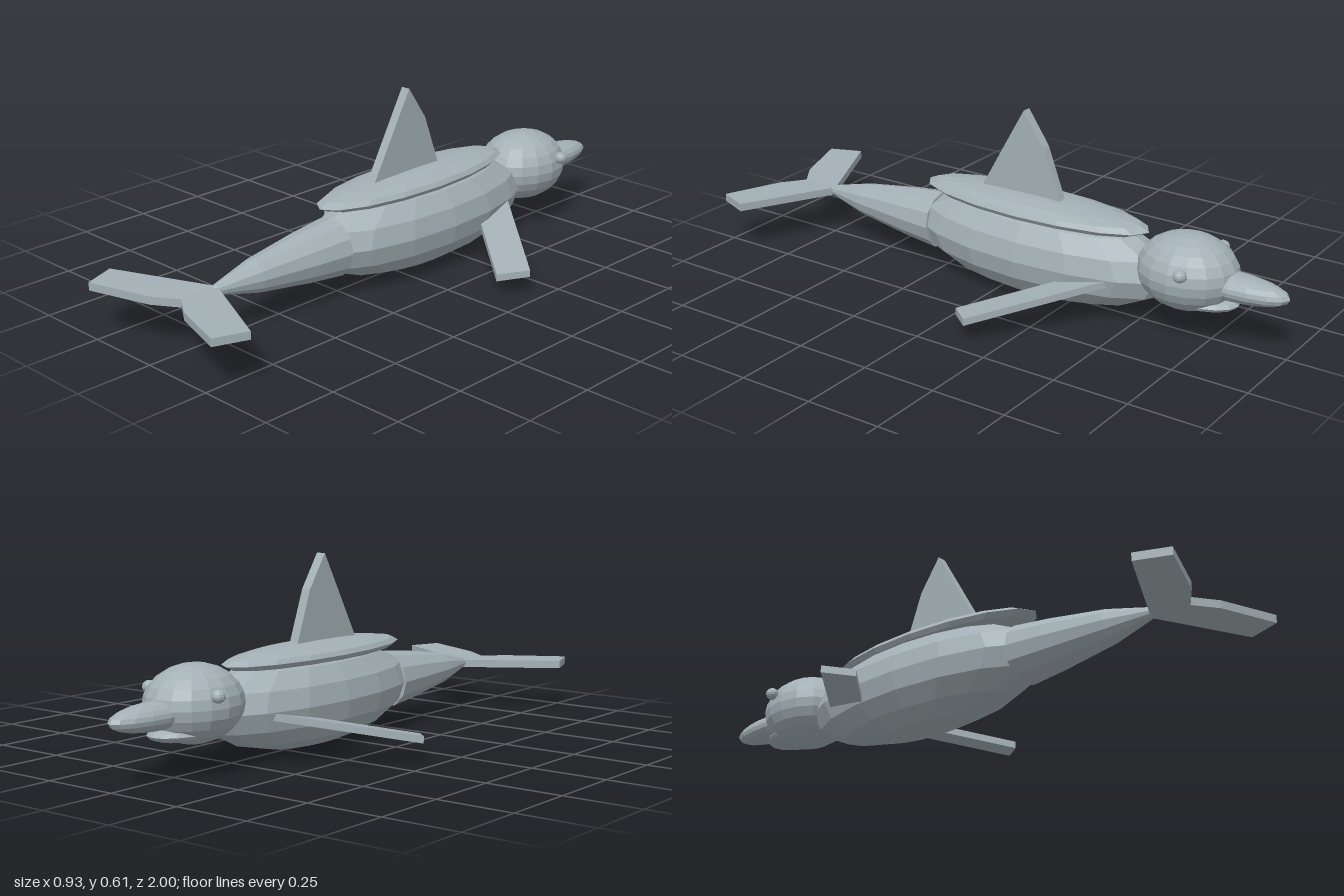
import * as THREE from 'three';

export function createModel() {
  const model = new THREE.Group();
  model.name = 'dolphin';
  const grey = new THREE.MeshStandardMaterial({ color: 0xa3b0b5, flatShading: true });
  grey.name = 'blueGrey';

  const add = (name, geometry) => {
    const mesh = new THREE.Mesh(geometry, grey);
    mesh.name = name;
    model.add(mesh);
    return mesh;
  };

  const ellipsoid = (name, [x, y, z], [rx, ry, rz], w = 16, h = 8) => {
    const g = new THREE.SphereGeometry(1, w, h);
    g.scale(rx, ry, rz).translate(x, y, z);
    return add(name, g);
  };

  // Slab: a convex outline pushed along an offset; winding follows the offset
  const slab = (name, outline, offset) => {
    const off = new THREE.Vector3(...offset);
    let a = outline.map((p) => new THREE.Vector3(...p));
    const normal = a[1].clone().sub(a[0]).cross(a[2].clone().sub(a[0]));
    if (normal.dot(off) > 0) a = a.reverse();
    const b = a.map((p) => p.clone().add(off));
    const tris = [];
    const n = a.length;
    for (let i = 1; i < n - 1; i++) {
      tris.push(a[0], a[i], a[i + 1], b[0], b[i + 1], b[i]);
    }
    for (let i = 0; i < n; i++) {
      const j = (i + 1) % n;
      tris.push(a[i], b[i], b[j], a[i], b[j], a[j]);
    }
    const g = new THREE.BufferGeometry().setFromPoints(tris);
    g.computeVertexNormals();
    return add(name, g);
  };

  // Body, raised back and head; the snout points to -z
  ellipsoid('body', [0, 0.163, -0.13], [0.168, 0.16, 0.485]);
  ellipsoid('back', [0, 0.298, -0.1], [0.125, 0.038, 0.42]);
  ellipsoid('head', [0, 0.21, -0.66], [0.14, 0.12, 0.165], 16, 12);
  ellipsoid('upperBeak', [0, 0.196, -0.82], [0.062, 0.043, 0.18], 16, 10);
  ellipsoid('lowerJaw', [0, 0.133, -0.7], [0.085, 0.028, 0.135], 16, 8);

  // Tapering tail stock
  const profile = [[0, 0.77], [0.016, 0.75], [0.054, 0.6], [0.083, 0.4], [0.097, 0.27], [0, 0.26]]
    .map(([r, z]) => new THREE.Vector2(r, -z)).map((p) => new THREE.Vector2(p.x, p.y));
  const tail = new THREE.LatheGeometry(profile, 12);
  tail.rotateX(-Math.PI / 2).translate(0, 0.16, 0);
  add('tailStock', tail);

  // Dorsal fin
  slab('dorsalFin', [
    [0.016, 0.3, 0.11], [0.016, 0.61, -0.065], [0.016, 0.5, -0.14], [0.016, 0.3, -0.215],
  ], [-0.032, 0, 0]);

  // Mirrored parts
  for (const [side, s] of [['left', 1], ['right', -1]]) {
    ellipsoid(side + 'Eye', [s * 0.137, 0.25, -0.705], [0.022, 0.02, 0.022], 10, 8);

    slab(side + 'Flipper', [
      [s * 0.1, 0.165, -0.46], [s * 0.463, 0.088, -0.15],
      [s * 0.393, 0.076, -0.07], [s * 0.1, 0.137, -0.315],
    ], [0, -0.023, 0]);

    slab(side + 'Fluke', [
      [0, 0.17, 0.74], [s * 0.322, 0.178, 0.89], [s * 0.28, 0.178, 0.998],
      [s * 0.08, 0.172, 0.93], [0, 0.17, 0.875],
    ], [0, -0.026, 0]);
  }

  return model;
}
